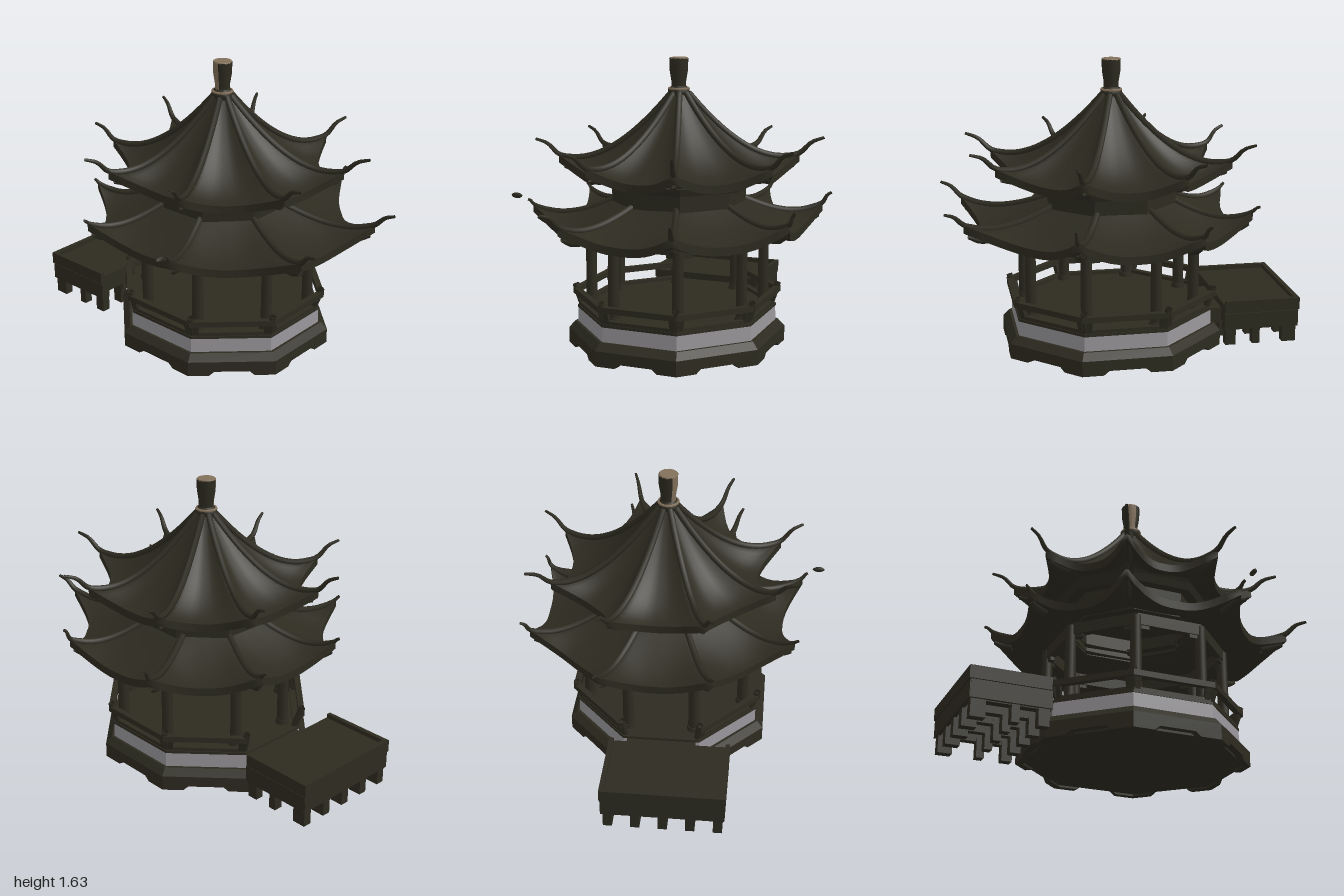
import * as THREE from 'three';

const wood = new THREE.MeshStandardMaterial({ color: 0x2d2b20, side: THREE.DoubleSide });
wood.name = 'dark wood';
const stone = new THREE.MeshStandardMaterial({ color: 0x98969a });
stone.name = 'pale stone';
const tan = new THREE.MeshStandardMaterial({ color: 0x82705a, side: THREE.DoubleSide });
tan.name = 'tan';

const EIGHTH = Math.PI / 4;
const lerp = THREE.MathUtils.lerp;
// Directions of the slightly uneven roof corners, closing on the first one
const CORNER_ANGLES = [22.4, 68.5, 115, 157.5, 202, 244, 292.4, 341, 382.4].map(THREE.MathUtils.degToRad);

function add(parent, name, geometry, material = wood, x = 0, y = 0, z = 0) {
  const mesh = new THREE.Mesh(geometry, material);
  mesh.name = name;
  mesh.position.set(x, y, z);
  parent.add(mesh);
  return mesh;
}

function addGroup(parent, name, x = 0, z = 0) {
  const group = new THREE.Group();
  group.name = name;
  group.position.set(x, 0, z);
  parent.add(group);
  return group;
}

function box(parent, name, x0, x1, y0, y1, z0, z1) {
  return add(parent, name, new THREE.BoxGeometry(x1 - x0, y1 - y0, z1 - z0), wood,
    (x0 + x1) / 2, (y0 + y1) / 2, (z0 + z1) / 2);
}

// Octagonal prism with flat faces towards the axes; sizes are measured to the flats.
function octagon(parent, name, bottom, top, y0, y1, material = wood, open = false) {
  const k = 1 / Math.cos(EIGHTH / 2);
  const g = new THREE.CylinderGeometry(top * k, bottom * k, y1 - y0, 8, 1, open).rotateY(EIGHTH / 2).toNonIndexed();
  g.computeVertexNormals();
  return add(parent, name, g, material, 0, (y0 + y1) / 2, 0);
}

// Runs a builder on each of the eight sides, with local +z pointing outwards.
function sides(parent, name, build, skip = -1) {
  for (let k = 0; k < 8; k++) {
    if (k === skip) continue;
    const g = addGroup(parent, name);
    g.rotation.y = k * EIGHTH;
    build(g);
  }
}

// Surface from a rule fn(u, v) sampled on a grid.
function gridSurface(nu, nv, fn) {
  const pos = [], index = [];
  for (let i = 0; i <= nu; i++) for (let j = 0; j <= nv; j++) pos.push(...fn(i / nu, j / nv));
  for (let i = 0; i < nu; i++) for (let j = 0; j < nv; j++) {
    const a = i * (nv + 1) + j, b = a + nv + 1;
    index.push(a, b, a + 1, b, b + 1, a + 1);
  }
  const g = new THREE.BufferGeometry();
  g.setAttribute('position', new THREE.Float32BufferAttribute(pos, 3));
  g.setIndex(index);
  g.computeVertexNormals();
  return g;
}

// Tube that narrows towards its end, starting at the fraction taperFrom.
function taperedTube(points, radius, taperFrom) {
  const curve = new THREE.CatmullRomCurve3(points);
  const n = 32, r = 6;
  const g = new THREE.TubeGeometry(curve, n, radius, r);
  const p = g.attributes.position, v = new THREE.Vector3();
  for (let i = 0; i <= n; i++) {
    const t = i / n, c = curve.getPointAt(t);
    const s = t <= taperFrom ? 1 : lerp(1, 0.45, (t - taperFrom) / (1 - taperFrom));
    for (let j = 0; j <= r; j++) {
      const q = i * (r + 1) + j;
      v.fromBufferAttribute(p, q).sub(c).multiplyScalar(s).add(c);
      p.setXYZ(q, v.x, v.y, v.z);
    }
  }
  return g;
}

// Sweeping eight-sided roof with lifted corners, ridges and upturned horns.
function roof(parent, name, o) {
  const group = addGroup(parent, name, 0.045, -0.058);
  const surface = (u, t, drop = 0) => {
    const k = Math.min(7, Math.floor(u * 8 + 1e-6)), f = u * 8 - k, s = Math.abs(2 * f - 1);
    const outer = lerp(o.mids[k], o.corners[f < 0.5 ? k : (k + 1) % 8], s ** 2.6);
    const r = lerp(o.inner * (1 + 0.08 * s * s), outer, t);
    const y = lerp(o.top, o.eave, 1 - (1 - t) ** o.bend) + o.lift * s ** 2.6 * t ** 3 - drop;
    const a = lerp(CORNER_ANGLES[k], CORNER_ANGLES[k + 1], f);
    return [r * Math.cos(a), y, r * Math.sin(a)];
  };
  add(group, 'roofTiles', gridSurface(96, 14, (u, v) => surface(u, v)));
  add(group, 'roofSoffit', gridSurface(96, 10, (u, v) => surface(u, v, 0.045)));
  add(group, 'roofFascia', gridSurface(96, 1, (u, v) => surface(u, 1, v * 0.045)));
  for (let k = 0; k < 8; k++) {
    const points = [];
    for (let i = 0; i <= 8; i++) points.push(new THREE.Vector3(...surface(k / 8, i / 8, -0.004)));
    const a = CORNER_ANGLES[k], tip = o.tips[k], tipY = o.tipY[k];
    const at = (r, y) => new THREE.Vector3(r * Math.cos(a), y, r * Math.sin(a));
    points.push(at(lerp(o.corners[k], tip, 0.5), lerp(points[8].y, tipY, 0.72)), at(tip, tipY));
    add(group, 'ridgeAndHorn', taperedTube(points, 0.018, 0.75));
    // Hip beam below each corner
    const low = [0.72, 0.84, 0.95].map((t) => new THREE.Vector3(...surface(k / 8, t, 0.055)));
    add(group, 'hipBeam', taperedTube(low, 0.026, 0.5));
  }
}

export function createModel() {
  const model = new THREE.Group();
  model.name = 'pavilion';

  // Stepped base with notched skirt panels, a little shallower than wide
  const podium = addGroup(model, 'podium', 0.055, -0.046);
  podium.scale.z = 0.95;
  octagon(podium, 'baseCore', 0.56, 0.56, 0.012, 0.09);
  octagon(podium, 'baseBevel', 0.6, 0.565, 0.085, 0.125);
  const h = 0.6 * Math.tan(EIGHTH / 2);
  const skirt = new THREE.Shape([[-h, 0], [-0.13, 0], [-0.1, 0.025], [0.1, 0.025], [0.13, 0], [h, 0], [h, 0.086], [-h, 0.086]]
    .map(([x, y]) => new THREE.Vector2(x, y)));
  const skirtGeometry = new THREE.ExtrudeGeometry(skirt, { depth: 0.04, bevelEnabled: false });
  const sp = skirtGeometry.attributes.position;
  for (let i = 0; i < sp.count; i++) sp.setX(i, sp.getX(i) * (0.56 + sp.getZ(i)) / 0.6);
  sides(podium, 'skirtPanel', (g) => add(g, 'skirt', skirtGeometry, wood, 0, 0, 0.56));
  octagon(podium, 'stoneBand', 0.55, 0.546, 0.12, 0.208, stone);
  octagon(podium, 'floor', 0.55, 0.55, 0.207, 0.222);

  // Outward-leaning railing, open towards the jetty
  sides(podium, 'railing', (g) => {
    box(g, 'topRail', -0.235, 0.235, 0.293, 0.325, 0.54, 0.575);
    box(g, 'lowerRail', -0.22, 0.22, 0.222, 0.242, 0.51, 0.545);
    for (const x of [-0.2, 0.2]) {
      const post = box(g, 'baluster', x - 0.014, x + 0.014, 0.22, 0.31, 0.53, 0.555);
      post.rotation.x = 0.3;
    }
  }, 6);
  for (let k = 0; k < 8; k++) {
    const a = EIGHTH * (k + 0.5), c = Math.cos(a), s = Math.sin(a);
    add(podium, 'railPost', taperedTube([[0.56, 0.21], [0.585, 0.28], [0.605, 0.345]]
      .map(([r, y]) => new THREE.Vector3(r * c, y, r * s)), 0.02, 1));
  }

  // Columns and the lintels between them
  const frame = addGroup(model, 'columnFrame', 0.07, -0.055);
  for (let k = 0; k < 8; k++) {
    const a = EIGHTH * (k + 0.5), x = 0.5 * Math.cos(a), z = 0.488 * Math.sin(a);
    add(frame, 'column', new THREE.CylinderGeometry(0.03, 0.032, 0.47, 10), wood, x, 0.445, z);
    add(frame, 'columnFoot', new THREE.CylinderGeometry(0.036, 0.04, 0.03, 10), wood, x, 0.235, z);
  }
  sides(frame, 'lintelSide', (g) => {
    box(g, 'lintel', -0.19, 0.19, 0.625, 0.69, 0.435, 0.475);
    for (const x of [-0.145, 0.145]) box(g, 'lintelBracket', x - 0.025, x + 0.025, 0.605, 0.63, 0.443, 0.467);
  });

  // Lower roof, drum and upper roof
  roof(model, 'lowerRoof', {
    inner: 0.33, top: 0.84, eave: 0.7, lift: 0.1, bend: 1.5,
    mids: [0.69, 0.665, 0.67, 0.67, 0.68, 0.69, 0.69, 0.745],
    corners: [0.9, 0.83, 0.81, 0.78, 0.8, 0.82, 0.8, 0.9],
    tips: [1.02, 0.86, 0.83, 0.8, 0.84, 0.87, 0.83, 1.005],
    tipY: [0.88, 0.83, 0.82, 0.82, 0.83, 0.86, 0.86, 0.87],
  });
  add(model, 'hornTip', new THREE.SphereGeometry(0.016, 8, 6).scale(0.8, 1, 2.2), wood, 0.375, 0.85, 0.805);
  const tower = addGroup(model, 'tower', 0.055, -0.058);
  octagon(tower, 'drum', 0.345, 0.352, 0.78, 0.93, wood, true);
  octagon(tower, 'drumCornice', 0.405, 0.42, 0.925, 0.965);
  octagon(tower, 'drumCap', 0.38, 0.4, 0.96, 1.0);
  roof(model, 'upperRoof', {
    inner: 0.045, top: 1.43, eave: 1.0, lift: 0.085, bend: 1.75,
    mids: [0.54, 0.51, 0.53, 0.53, 0.53, 0.545, 0.55, 0.565],
    corners: [0.71, 0.68, 0.68, 0.67, 0.68, 0.68, 0.68, 0.71],
    tips: [0.86, 0.81, 0.81, 0.78, 0.81, 0.82, 0.81, 0.85],
    tipY: Array(8).fill(1.175),
  });

  // Finial: collar, flared post with a tan patch on the front, tan cap
  const finial = addGroup(model, 'finial', 0.045, -0.052);
  const collar = [[0.045, 1.41], [0.06, 1.435], [0.06, 1.455], [0.04, 1.475]].map(([r, y]) => new THREE.Vector2(r, y));
  add(finial, 'finialCollar', new THREE.LatheGeometry(collar, 12));
  add(finial, 'finialRing', new THREE.TorusGeometry(0.054, 0.008, 6, 16).rotateX(Math.PI / 2), tan, 0, 1.458, 0);
  const post = (start, length, n) => {
    const profile = [[0.042, 1.465], [0.042, 1.5], [0.052, 1.56], [0.054, 1.626]].map(([r, y]) => new THREE.Vector2(r, y));
    return new THREE.LatheGeometry(profile, n, start, length);
  };
  add(finial, 'finialPost', post(Math.PI / 12, Math.PI * 19 / 12, 10), wood);
  add(finial, 'finialPatch', post(-Math.PI / 3, Math.PI * 5 / 12, 3), tan);
  add(finial, 'finialCap', new THREE.CylinderGeometry(0.05, 0.054, 0.008, 12), tan, 0, 1.627, 0);

  // Jetty with raised rims on short legs
  const jetty = addGroup(model, 'jetty');
  box(jetty, 'jettyDeck', -0.985, -0.562, 0.135, 0.245, -0.32, 0.34);
  box(jetty, 'jettyStep', -0.57, -0.48, 0.12, 0.205, -0.24, 0.15);
  box(jetty, 'endRim', -1, -0.972, 0.2, 0.27, -0.33, 0.35);
  box(jetty, 'endSkirt', -0.995, -0.972, 0.1, 0.195, -0.325, 0.345);
  for (const [z0, z1] of [[-0.33, -0.305], [0.325, 0.35]]) {
    box(jetty, 'sideRim', -1, -0.565, 0.2, 0.27, z0, z1);
    box(jetty, 'sideSkirt', -0.99, -0.56, 0.1, 0.195, z0 + 0.003, z1 - 0.003);
  }
  for (let i = 0; i < 5; i++) {
    const z = -0.29 + i * 0.15;
    box(jetty, 'crossBeam', -0.985, -0.56, 0.095, 0.14, z - 0.02, z + 0.02);
    for (const [x, w] of [[-0.945, 0.04], [-0.75, 0.022], [-0.6, 0.03]])
      box(jetty, 'jettyLeg', x - w, x + w, 0.005, 0.12, z - 0.025, z + 0.025);
  }
  return model;
}
